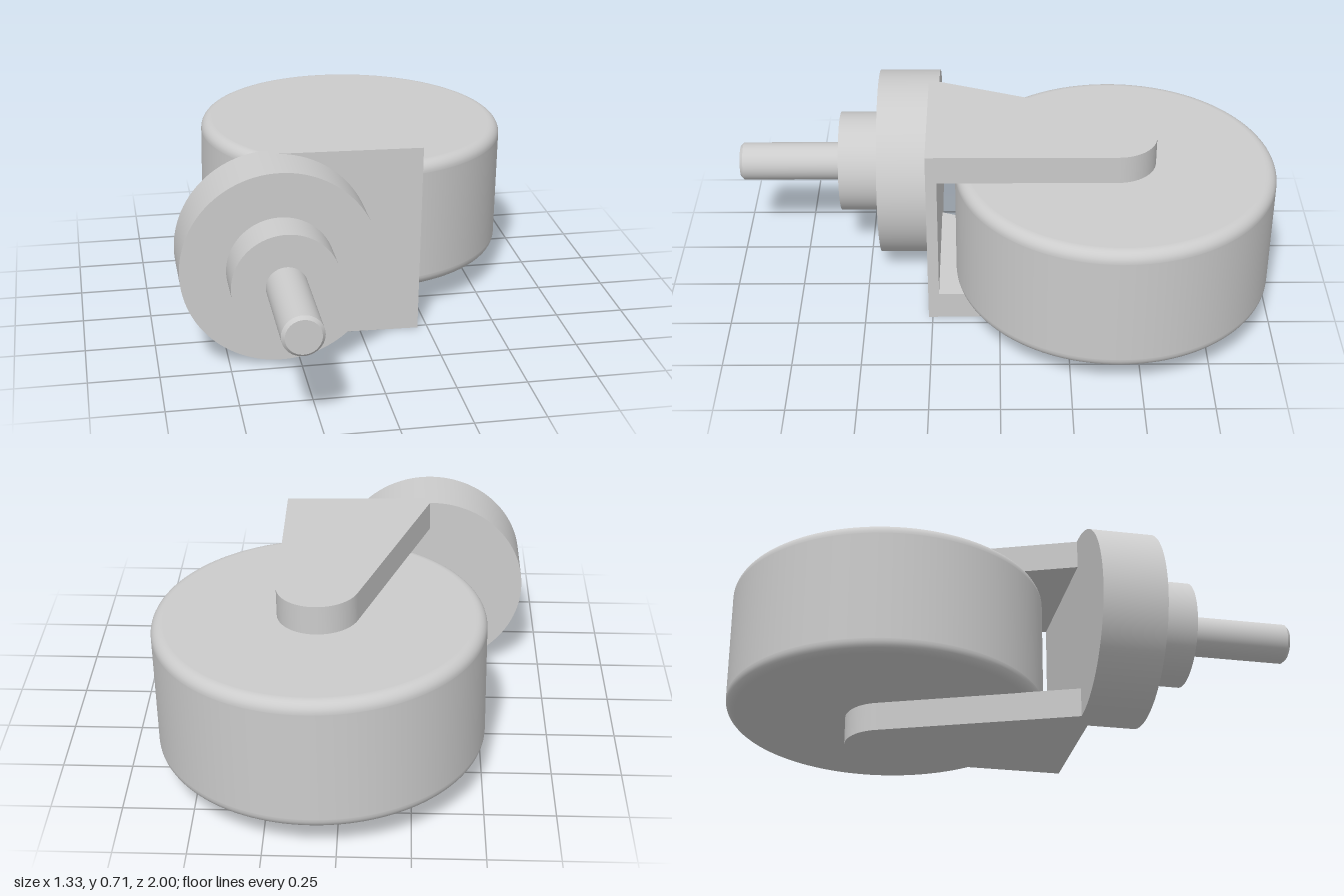
import * as THREE from 'three';

const material = new THREE.MeshStandardMaterial({ color: 0xcccccc });

function addMesh(parent, name, geometry) {
  const mesh = new THREE.Mesh(geometry, material);
  mesh.name = name;
  parent.add(mesh);
  return mesh;
}

// Cylinder along z between two depths
function addRound(parent, name, rBack, rFront, z0, z1) {
  const geo = new THREE.CylinderGeometry(rFront, rBack, z1 - z0, 96);
  geo.rotateX(Math.PI / 2);
  geo.translate(0, 0, (z0 + z1) / 2);
  return addMesh(parent, name, geo);
}

// Solid wheel profile with rounded rims
function wheelGeometry(radius, half, fillet) {
  const pts = [new THREE.Vector2(0, -half), new THREE.Vector2(radius - fillet - 0.002, -half)];
  const steps = 8;
  for (const side of [-1, 1]) {
    for (let i = 0; i <= steps; i++) {
      const t = i / steps;
      const a = (side < 0 ? t - 1 : t) * Math.PI / 2;
      pts.push(new THREE.Vector2(
        radius - fillet + fillet * Math.cos(a),
        side * (half - fillet) + fillet * Math.sin(a)));
    }
    // Support points keep the tread flat
    if (side < 0) {
      pts.push(new THREE.Vector2(radius, -half + fillet + 0.002));
      pts.push(new THREE.Vector2(radius, half - fillet - 0.002));
    }
  }
  pts.push(new THREE.Vector2(radius - fillet - 0.002, half), new THREE.Vector2(0, half));
  return new THREE.LatheGeometry(pts, 128);
}

export function createModel() {
  const model = new THREE.Group();
  model.name = 'caster';

  // The whole caster leans slightly around the stem axis
  const body = new THREE.Group();
  body.name = 'casterBody';
  body.position.set(-0.315, 0.367, 0);
  body.rotation.z = -0.0185;
  model.add(body);

  // Swivel head and stem
  addRound(body, 'swivelDisc', 0.352, 0.352, 0.225, 0.455);
  addRound(body, 'swivelCollar', 0.19, 0.19, 0.455, 0.61);
  addRound(body, 'stem', 0.072, 0.072, 0.61, 0.988);
  addRound(body, 'stemChamfer', 0.072, 0.061, 0.988, 1.0);

  // Fork bridge, tangent to the disc
  const outer = 0.352, inner = 0.245, edge = 0.535;
  const bridge = addMesh(body, 'forkBridge', new THREE.BoxGeometry(edge, 2 * inner, 0.04));
  bridge.position.set(edge / 2, 0, 0.245);

  // Tapered fork arms, drawn with -z as the shape's up
  const arm = new THREE.Shape();
  arm.moveTo(0, -0.265);
  arm.lineTo(edge, -0.265);
  arm.lineTo(edge, 0.42);
  arm.absarc(0.39, 0.42, 0.145, 0, 2.79, false);
  arm.lineTo(0, -0.225);
  arm.closePath();
  const armGeo = new THREE.ExtrudeGeometry(arm, {
    depth: outer - inner, bevelEnabled: false, curveSegments: 32,
  });
  armGeo.rotateX(-Math.PI / 2);
  addMesh(body, 'upperForkArm', armGeo).position.y = inner;
  addMesh(body, 'lowerForkArm', armGeo).position.y = -outer;

  // Wheel
  addMesh(body, 'wheel', wheelGeometry(0.581, 0.246, 0.04)).position.set(0.39, 0, -0.419);

  return model;
}
